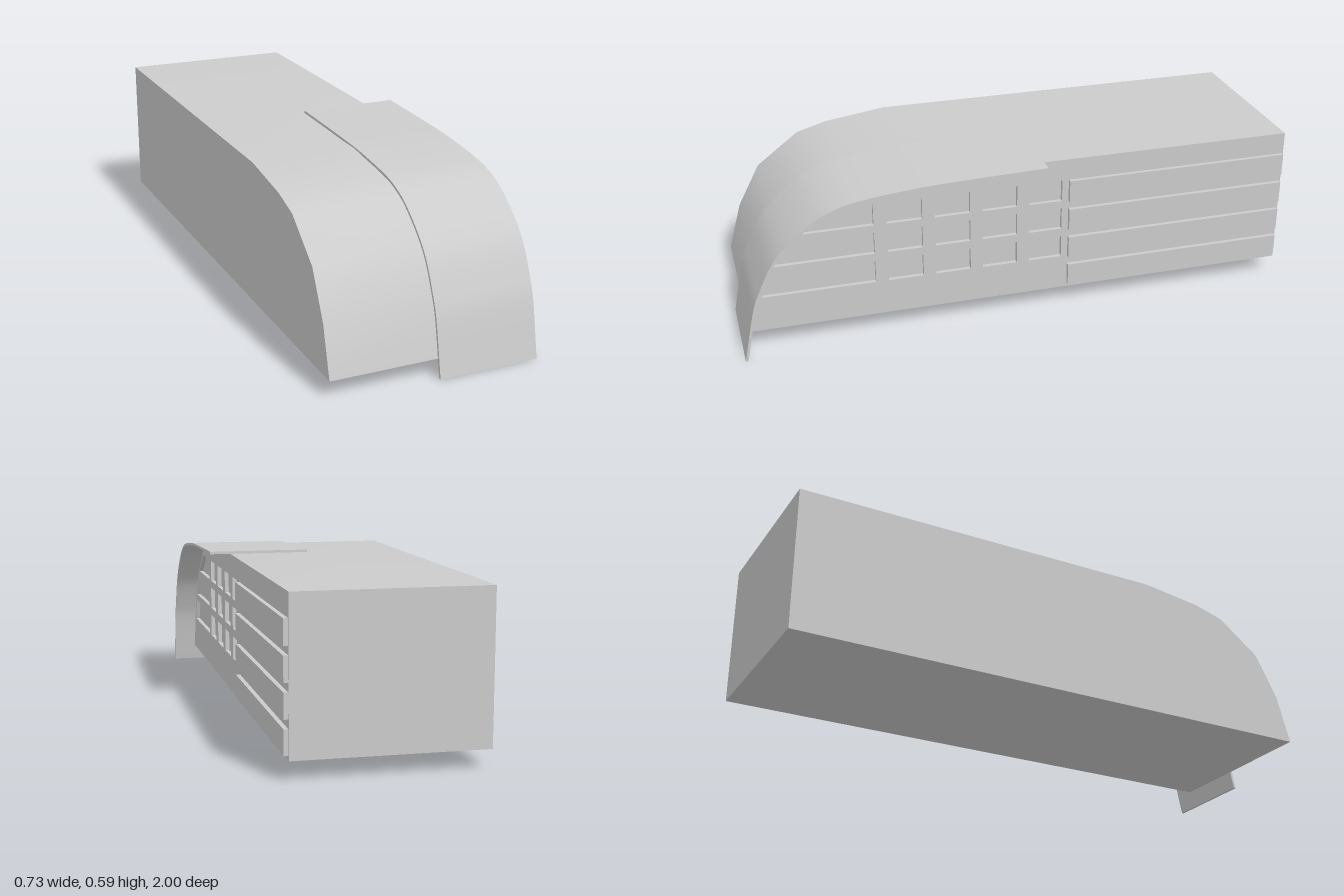
import * as THREE from 'three';
import { toCreasedNormals } from 'three/addons/utils/BufferGeometryUtils.js';

const material = new THREE.MeshStandardMaterial({ color: 0xcccccc });
const toPoints = (list) => list.map(([z, y]) => new THREE.Vector2(z, y));

// Extrudes a side profile of (z, y) points across the width from x0 to x1
function acrossWidth(name, points, x0, x1, holes = []) {
  const shape = new THREE.Shape(points);
  holes.forEach((h) => shape.holes.push(new THREE.Path(toPoints(h))));
  const geo = new THREE.ExtrudeGeometry(shape, { depth: x1 - x0, bevelEnabled: false });
  geo.rotateY(-Math.PI / 2).translate(x1, 0, 0);
  const mesh = new THREE.Mesh(toCreasedNormals(geo, 0.6), material);
  mesh.name = name;
  return mesh;
}

export function createModel() {
  const model = new THREE.Group();
  model.name = 'building';

  // Long block with a curved front
  const profile = toPoints([
    [-1, 0.062], [0.975, 0.062], [0.927, 0.234], [0.845, 0.39],
    [0.69, 0.508], [0.58, 0.54], [0.355, 0.571], [-1, 0.571],
  ]);
  const wallX = 0.277, recess = 0.015;
  model.add(acrossWidth('mainBlock', profile, -0.365, wallX - recess));

  // Side wall with three rows of recessed windows; the foremost ones follow the curve
  const rows = [
    { y0: 0.19, y1: 0.272, z0: 0.92, z1: 0.89 },
    { y0: 0.302, y1: 0.383, z0: 0.875, z1: 0.825 },
    { y0: 0.412, y1: 0.492, z0: 0.80, z1: 0.685 },
  ];
  const columns = [[-0.15, -0.03], [0.015, 0.14], [0.185, 0.31], [0.355, 0.48], [0.525, null]];
  const windows = [];
  for (const { y0, y1, z0, z1 } of rows) {
    for (const [back, front] of columns) {
      windows.push([[back, y0], [back, y1], [front ?? z1, y1], [front ?? z0, y0]]);
    }
  }
  model.add(acrossWidth('windowWall', profile, wallX - recess, wallX, windows));

  // Raised horizontal slats on the rear half of the side wall
  for (let i = 0; i < 4; i++) {
    const slat = new THREE.Mesh(new THREE.BoxGeometry(0.015, 0.082, 0.82), material);
    slat.position.set(wallX + 0.0075, 0.118 + i * 0.111, -0.584);
    slat.name = 'slat';
    model.add(slat);
  }

  // Thin curved canopy sweeping over the front corner
  const curve = new THREE.SplineCurve(toPoints([
    [1, 0], [0.96, 0.19], [0.93, 0.27], [0.885, 0.36], [0.83, 0.425], [0.75, 0.49],
    [0.69, 0.523], [0.6, 0.55], [0.4, 0.573], [0.2, 0.582], [-0.07, 0.589],
  ]));
  const outer = curve.getSpacedPoints(48);
  const inner = outer.map((p, i) => {
    const t = curve.getTangentAt(i / 48);
    return new THREE.Vector2(p.x - t.y * 0.009, Math.max(0, p.y + t.x * 0.009));
  });
  model.add(acrossWidth('canopy', [...outer, ...inner.reverse()], 0.008, 0.363));

  return model;
}
